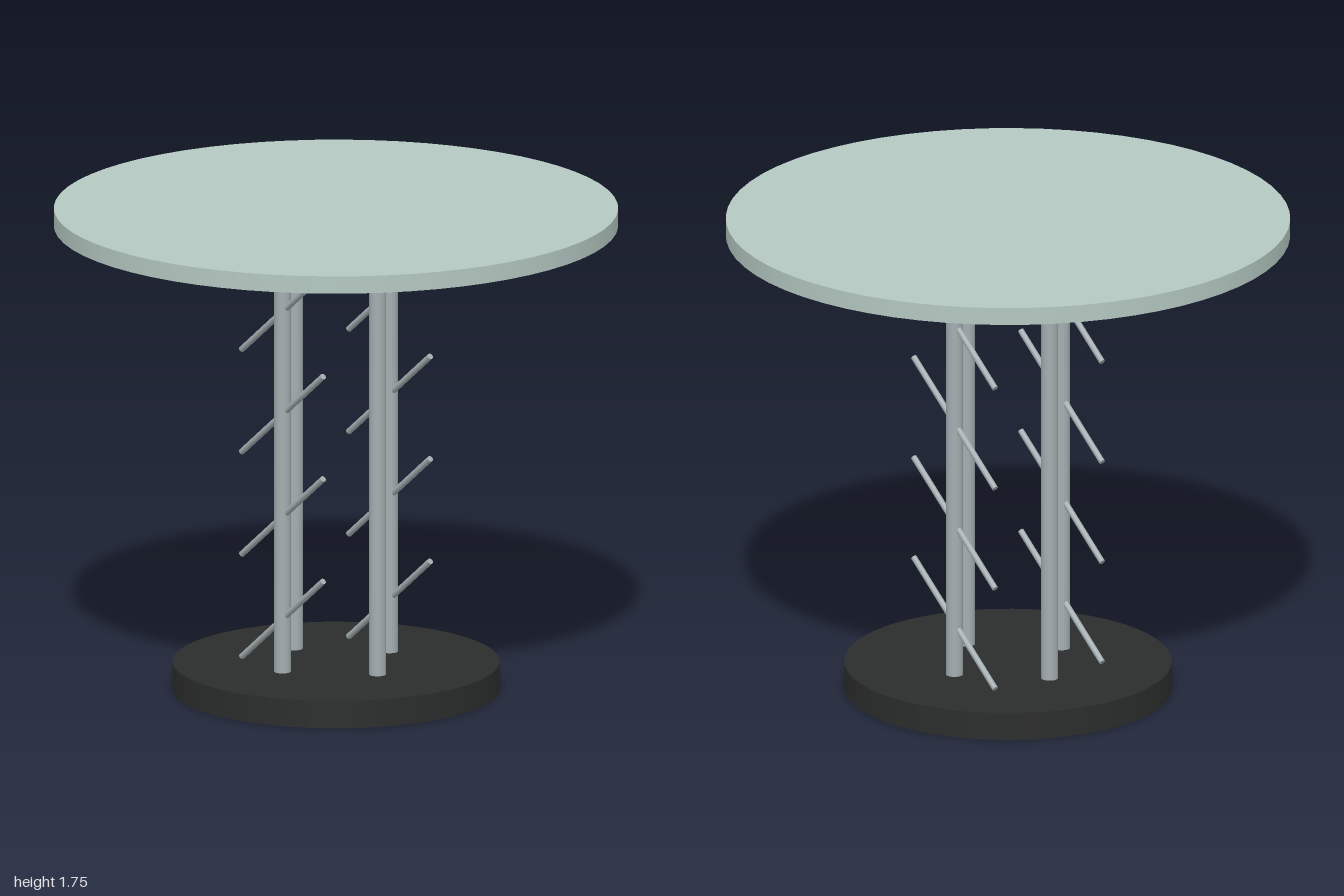
import * as THREE from 'three';

const material = (color) => new THREE.MeshStandardMaterial({ color });

export function createModel() {
  const group = new THREE.Group();
  const glass = material(0xb4c8c2);
  const metal = material(0xa3adb0);
  const dark = material(0x2b2d2c);

  // Upright cylinder between two heights
  function upright(name, radius, y0, y1, x, z, mat, sides) {
    const mesh = new THREE.Mesh(new THREE.CylinderGeometry(radius, radius, y1 - y0, sides), mat);
    mesh.position.set(x, (y0 + y1) / 2, z);
    mesh.name = name;
    group.add(mesh);
  }

  // Cylinder between two points
  function rod(name, a, b, radius) {
    const dir = b.clone().sub(a);
    const mesh = new THREE.Mesh(new THREE.CylinderGeometry(radius, radius, dir.length(), 16), metal);
    mesh.position.copy(a).add(b).multiplyScalar(0.5);
    mesh.quaternion.setFromUnitVectors(new THREE.Vector3(0, 1, 0), dir.normalize());
    mesh.name = name;
    group.add(mesh);
  }

  // Round base and table top
  upright('base', 0.58, 0, 0.1, 0, 0, dark, 64);
  upright('tableTop', 1, 1.692, 1.755, 0, 0, glass, 64);

  // Four posts, stopping just short of the top
  const offset = 0.24;
  for (const [x, z] of [[1, 0], [-1, 0], [0, 1], [0, -1]]) {
    upright('post', 0.03, 0.09, 1.68, x * offset, z * offset, metal, 32);
  }

  // Slanted rods through the front and back posts
  const pitch = 0.374;
  for (const z of [offset, -offset]) {
    for (let i = 0; i < 4; i++) {
      const y = 0.108 + i * pitch;
      rod('slantedRod', new THREE.Vector3(-0.235, y, z), new THREE.Vector3(0.235, y + 0.367, z), 0.011);
    }
  }
  return group;
}
